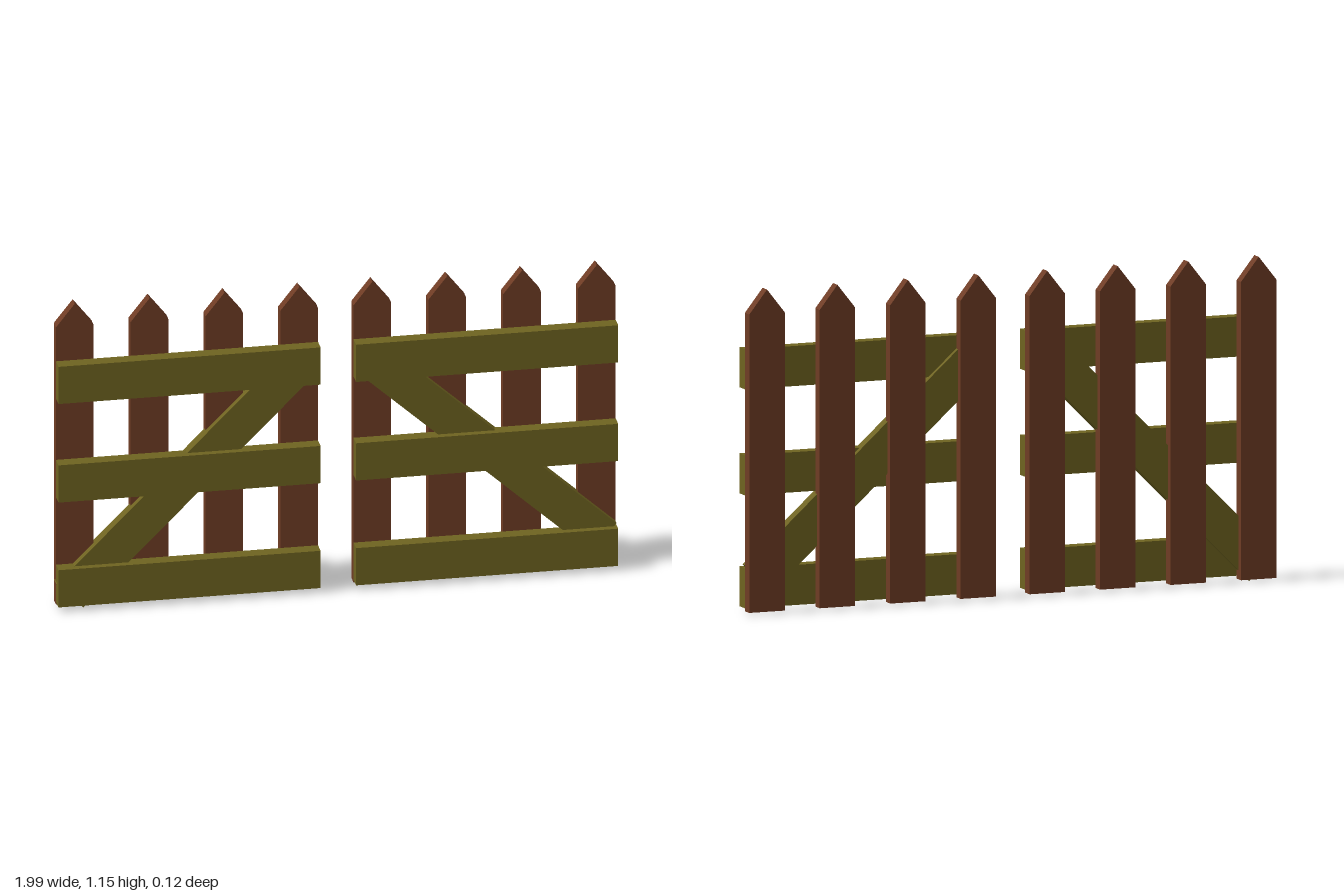
import * as THREE from 'three';

const brown = new THREE.MeshStandardMaterial({ color: 0x6f3c24, flatShading: true });
const olive = new THREE.MeshStandardMaterial({ color: 0x6e6320, flatShading: true });

// Pointed board, back face at z = -0.0445
function picket(x) {
  const w = 0.067;
  const shape = new THREE.Shape([[-w, 0.01], [w, 0.01], [w, 1.067], [0, 1.152], [-w, 1.067]]
    .map(([px, py]) => new THREE.Vector2(px, py)));
  const geometry = new THREE.ExtrudeGeometry(shape, { depth: 0.041, bevelEnabled: false });
  const mesh = new THREE.Mesh(geometry, brown);
  mesh.name = 'picket';
  mesh.position.set(x, 0, -0.0445);
  return mesh;
}

// Flat board running from one end midpoint to the other, between two depths
function board(name, [x0, y0], [x1, y1], width, back, front) {
  const length = Math.hypot(x1 - x0, y1 - y0);
  const mesh = new THREE.Mesh(new THREE.BoxGeometry(length, width, front - back), olive);
  mesh.name = name;
  mesh.position.set((x0 + x1) / 2, (y0 + y1) / 2, (back + front) / 2);
  mesh.rotation.z = Math.atan2(y1 - y0, x1 - x0);
  return mesh;
}

// One fence panel: four pickets, three rails and a diagonal brace
function panel(name, centre, braceStart, braceEnd) {
  const group = new THREE.Group();
  group.name = name;
  for (let i = 0; i < 4; i++) group.add(picket(centre + (i - 1.5) * 0.266));
  for (const y of [0.091, 0.491, 0.867]) {
    group.add(board('rail', [centre - 0.466, y], [centre + 0.466, y], 0.142, -0.0035, 0.046));
  }
  group.add(board('brace', braceStart, braceEnd, 0.136, -0.021, 0.022));
  return group;
}

export function createModel() {
  const gate = new THREE.Group();
  gate.name = 'picketGate';
  gate.add(panel('rightPanel', -0.527, [-0.948, 0.05], [-0.125, 0.872]));
  gate.add(panel('leftPanel', 0.531, [0.95, 0.122], [0.13, 0.862]));
  // The whole fence stands slightly skewed
  gate.rotation.y = -0.0135;
  return gate;
}
